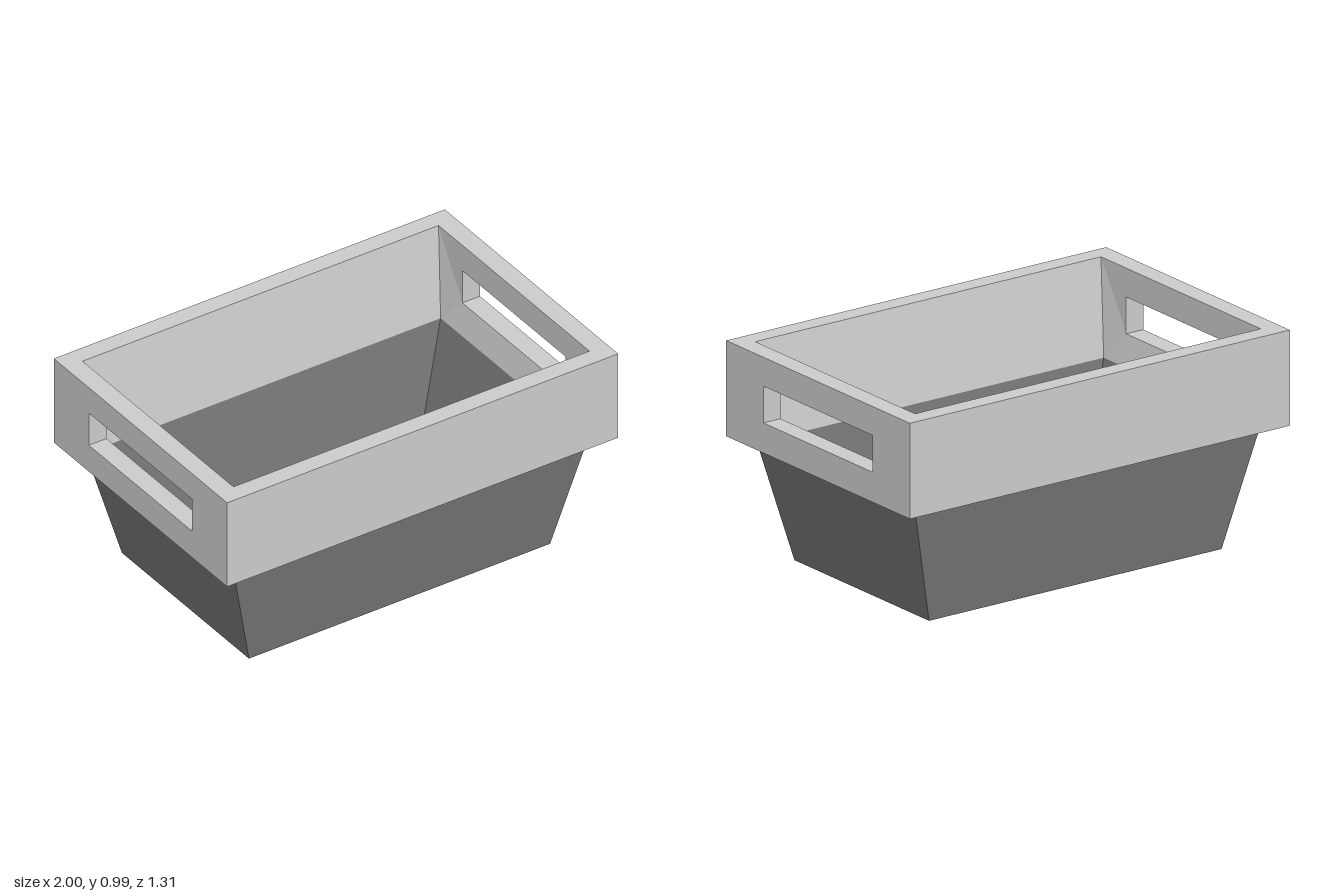
import * as THREE from 'three';

// Collects flat polygons and turns them into a faceted mesh
function makeShell(name, color) {
  const pos = [];
  const tri = (a, b, c) => pos.push(...a, ...b, ...c);
  const quad = (a, b, c, d) => { tri(a, b, c); tri(a, c, d); };
  // Band of quads between two four-cornered loops; flip picks the side split the other way
  const link = (a, b, flip = -1) => {
    for (let i = 0; i < 4; i++) {
      const j = (i + 1) % 4;
      if (i === flip) quad(a[j], b[j], b[i], a[i]);
      else quad(a[i], a[j], b[j], b[i]);
    }
  };
  const build = () => {
    const geometry = new THREE.BufferGeometry();
    geometry.setAttribute('position', new THREE.Float32BufferAttribute(pos, 3));
    geometry.computeVertexNormals();
    const mesh = new THREE.Mesh(geometry, new THREE.MeshStandardMaterial({ color, flatShading: true }));
    mesh.name = name;
    return mesh;
  };
  return { quad, link, build };
}

// Horizontal rectangle, counter-clockwise from above
const rect = (x, y, z) => [[x, y, z], [x, y, -z], [-x, y, -z], [-x, y, z]];

const TOP = 0.985, SEAM = 0.555, FLOOR = 0.04;

function createRim() {
  const { quad, link, build } = makeShell('rim', 0xcccccc);
  const outTop = rect(1, TOP, 0.655), outLow = rect(1, SEAM, 0.655);
  const inTop = rect(0.91, TOP, 0.57), inLow = rect(0.88, SEAM, 0.51);
  link(outTop, inTop);
  link(inLow, outLow);

  // Each end and long side, repeated by a half turn
  for (const s of [1, -1]) {
    const turn = (loop) => loop.map(([x, y, z]) => [s * x, y, s * z]);
    const end = (low, top) => turn([low[0], low[1], top[1], top[0]]);
    const hole = (x) => turn([[x, 0.69, 0.39], [x, 0.69, -0.39], [x, 0.855, -0.39], [x, 0.855, 0.39]]);

    // End wall with its handle slot
    link(end(outLow, outTop), hole(1));
    link(hole(1), hole(0.91));
    link(hole(0.91), end(inLow, inTop), 3);

    // Long wall, outside and inside
    quad(...turn([outLow[3], outLow[0], outTop[0], outTop[3]]));
    quad(...turn([inLow[0], inLow[3], inTop[3], inTop[0]]));
  }
  return build();
}

function createBasin() {
  const { quad, link, build } = makeShell('basin', 0x777777);
  const foot = rect(0.77, 0, 0.48), outTop = rect(0.91, SEAM, 0.57);
  const inTop = rect(0.88, SEAM, 0.51), floor = rect(0.73, FLOOR, 0.44);
  link(foot, outTop);
  link(outTop, inTop);
  link(inTop, floor);
  quad(...floor);
  quad(...foot.slice().reverse());
  return build();
}

export function createModel() {
  const group = new THREE.Group();
  group.name = 'storageBin';
  group.add(createRim(), createBasin());
  return group;
}
